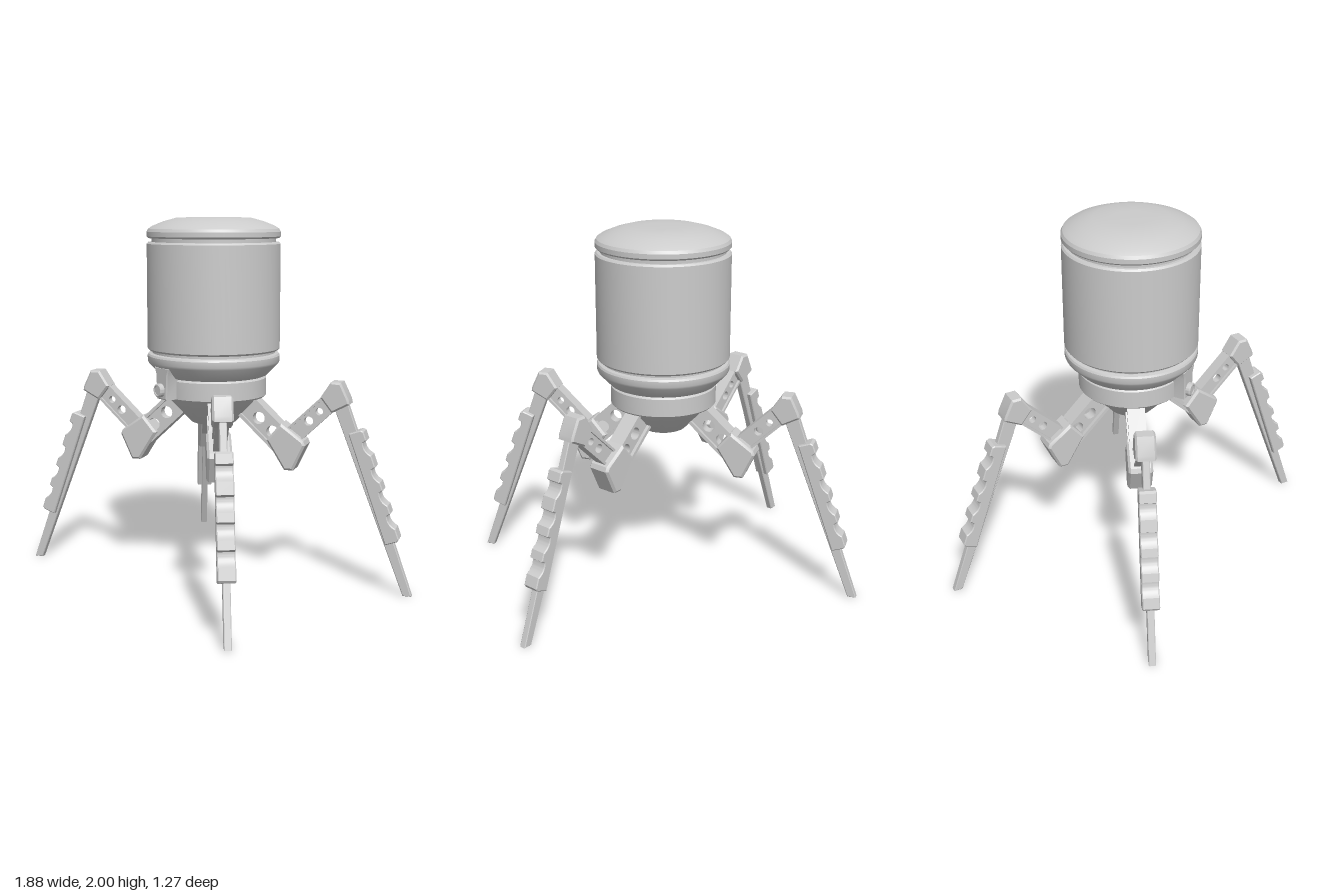
import * as THREE from 'three';
import { toCreasedNormals } from 'three/addons/utils/BufferGeometryUtils.js';

const grey = new THREE.MeshStandardMaterial({ color: 0xcccccc });

function part(name, geometry, parent) {
  const mesh = new THREE.Mesh(toCreasedNormals(geometry, 0.45), grey);
  mesh.name = name;
  parent.add(mesh);
  return mesh;
}

// Extrudes a side profile to a given width, centred on z = 0
function slab(shape, width, bevel = 0) {
  const geometry = new THREE.ExtrudeGeometry(shape, {
    depth: width - 2 * bevel, bevelEnabled: bevel > 0, bevelSize: bevel,
    bevelThickness: bevel, bevelOffset: -bevel, bevelSegments: 1, curveSegments: 12,
  });
  return geometry.translate(0, 0, -width / 2 + bevel);
}

const polygon = (pts) => new THREE.Shape(pts.map(([x, y]) => new THREE.Vector2(x, y)));
const lathe = (pts) => new THREE.LatheGeometry(pts.map(([r, y]) => new THREE.Vector2(r, y)), 64);
const rect = (x0, y0, x1, y1) => polygon([[x0, y0], [x1, y0], [x1, y1], [x0, y1]]);

// I-beam between two points, its web pierced by round holes [distance, radius]
function girder(name, from, to, height, width, holes, parent) {
  const group = new THREE.Group();
  group.name = name;
  const dx = to[0] - from[0], dy = to[1] - from[1], length = Math.hypot(dx, dy);
  group.position.set(from[0], from[1], 0);
  group.rotation.z = Math.atan2(dy, dx);
  const h = height / 2, flange = height * 0.13;
  const web = rect(0, -h + flange / 2, length, h - flange / 2);
  for (const [d, r] of holes) {
    web.holes.push(new THREE.Path().absarc(d, 0, r, 0, Math.PI * 2, true));
  }
  part(name + 'Web', slab(web, width * 0.6), group);
  for (const s of [-1, 1]) {
    const y = s * (h - flange / 2);
    part(name + 'Flange', slab(rect(0, y - flange / 2, length, y + flange / 2), width), group);
  }
  parent.add(group);
}

// Guard running along the shin, with scalloped notches on its outer edge
function guard(parent) {
  const length = 0.625, outer = 0.046, shape = new THREE.Shape();
  shape.moveTo(0, -0.035);
  shape.lineTo(0, outer - 0.012);
  shape.lineTo(0.012, outer);
  for (const d of [0.06, 0.21, 0.34, 0.47]) {
    shape.lineTo(d, outer);
    shape.lineTo(d + 0.008, outer - 0.022);
    shape.quadraticCurveTo(d + 0.05, outer - 0.034, d + 0.085, outer);
  }
  shape.lineTo(length - 0.012, outer);
  shape.lineTo(length, outer - 0.012);
  shape.lineTo(length, -0.035);
  const mesh = part('shinGuard', slab(shape, 0.09, 0.005), parent);
  mesh.position.set(0.8, 0.88, 0);
  mesh.rotation.z = Math.atan2(-1.03, 0.365);
}

// One leg, drawn in its own plane: x runs outwards from the body axis
function createLeg() {
  const leg = new THREE.Group();
  leg.name = 'leg';
  girder('hipGirder', [0.17, 1.015], [0.41, 0.79], 0.135, 0.095,
    [[0.135, 0.034], [0.24, 0.034]], leg);
  part('kneeBlock', slab(polygon([
    [0.32, 0.81], [0.42, 0.65], [0.47, 0.65], [0.535, 0.79], [0.525, 0.815], [0.4, 0.905],
  ]), 0.13, 0.012), leg);
  girder('upperGirder', [0.44, 0.82], [0.67, 1.04], 0.1, 0.07,
    [[0.145, 0.025], [0.225, 0.02]], leg);
  part('elbowBlock', slab(polygon([
    [0.612, 1.055], [0.675, 0.975], [0.77, 1.025], [0.765, 1.05], [0.722, 1.14], [0.668, 1.14],
  ]), 0.105, 0.01), leg);
  part('shin', slab(polygon([
    [0.67, 1.03], [1.073, 0], [1.12, 0], [0.755, 1.03],
  ]), 0.038, 0.004), leg);
  guard(leg);
  return leg;
}

export function createModel() {
  const model = new THREE.Group();
  model.name = 'fourLeggedTank';

  // Body, from the tapered base up to the lid
  part('base', lathe([
    [0, 0.885], [0.115, 0.885], [0.125, 0.89], [0.255, 1.03], [0.278, 1.03], [0.288, 1.04],
    [0.288, 1.135], [0.278, 1.145], [0.295, 1.152], [0.355, 1.215], [0.361, 1.228],
    [0.361, 1.258], [0.355, 1.268], [0.335, 1.272], [0.335, 1.3],
  ]), model);
  part('drum', lathe([
    [0.3, 1.287], [0.352, 1.287], [0.361, 1.297], [0.361, 1.858], [0.352, 1.868], [0.3, 1.868],
  ]), model);
  part('lidNeck', new THREE.CylinderGeometry(0.335, 0.335, 0.06, 64).translate(0, 1.88, 0), model);
  part('lid', lathe([
    [0.3, 1.888], [0.352, 1.888], [0.361, 1.897], [0.361, 1.922], [0.352, 1.938], [0.33, 1.953],
    [0.27, 1.977], [0.2, 1.996], [0.1, 1.999], [0, 2],
  ]), model);

  // Front bracket with its round knob
  const bracket = part('frontBracket', slab(polygon([
    [-0.045, 1.04], [0.045, 1.04], [0.05, 1.17], [0.066, 1.212], [-0.066, 1.212], [-0.05, 1.17],
  ]), 0.1, 0.006), model);
  bracket.position.z = 0.3;
  const knob = part('frontKnob', lathe([
    [0.037, 0], [0.037, 0.022], [0.031, 0.028], [0.025, 0.028], [0.025, 0.023], [0, 0.023],
  ]), model);
  knob.rotation.x = Math.PI / 2;
  knob.position.set(-0.005, 1.09, 0.347);

  // Four legs, mirrored across both axes
  const angle = 0.59;
  for (const a of [angle, Math.PI - angle, Math.PI + angle, -angle]) {
    const leg = createLeg();
    leg.rotation.y = a;
    model.add(leg);
  }
  return model;
}
